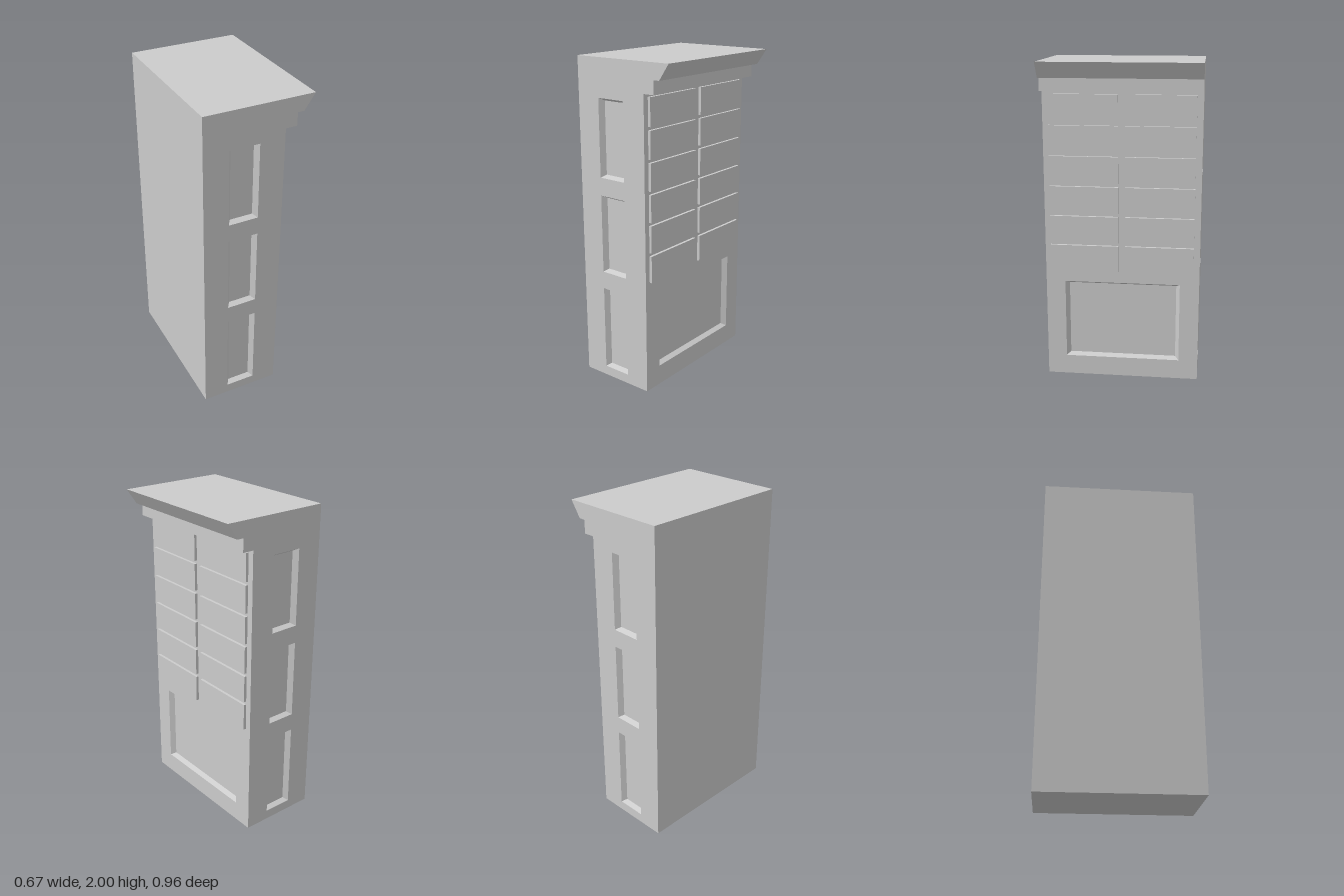
import * as THREE from 'three';
import { mergeGeometries } from 'three/addons/utils/BufferGeometryUtils.js';

const BACK = -0.335, FACE = 0.16, HALF = 0.48, DEPTH = 0.03;
const material = new THREE.MeshStandardMaterial({ color: 0xcccccc, flatShading: true });

// Closed outline of the cabinet with its stepped cornice, counter-clockwise
const profile = [[BACK, 0], [FACE, 0], [FACE, 1.825], [0.23, 1.825], [0.23, 1.905],
  [0.27, 1.905], [0.335, 2], [BACK, 2]];

function quad(a, b, c, d) {
  const g = new THREE.BufferGeometry();
  g.setAttribute('position', new THREE.Float32BufferAttribute([a, b, c, a, c, d].flat(), 3));
  g.computeVertexNormals();
  return g;
}

const corners = (x0, x1, y0, y1, z) => [[x0, y0, z], [x1, y0, z], [x1, y1, z], [x0, y1, z]];

// Flat wall facing +z, with sunken panels that have bevelled sides
function panelledWall(outline, panels, bevelX, bevelY) {
  const toVectors = pts => pts.map(p => new THREE.Vector2(p[0], p[1]));
  const shape = new THREE.Shape(toVectors(outline));
  const parts = [];
  for (const [x0, x1, y0, y1] of panels) {
    const rim = corners(x0, x1, y0, y1, 0);
    const floor = corners(x0 + bevelX, x1 - bevelX, y0 + bevelY, y1 - bevelY, -DEPTH);
    shape.holes.push(new THREE.Path(toVectors(rim)));
    parts.push(quad(...floor));
    for (let i = 0; i < 4; i++) {
      const j = (i + 1) % 4;
      parts.push(quad(rim[i], rim[j], floor[j], floor[i]));
    }
  }
  const wall = new THREE.ShapeGeometry(shape).toNonIndexed();
  wall.deleteAttribute('uv');
  return mergeGeometries([wall, ...parts]);
}

export function createModel() {
  const model = new THREE.Group();
  model.name = 'cabinet';
  const add = (name, geometry) => {
    const mesh = new THREE.Mesh(geometry, material);
    mesh.name = name;
    model.add(mesh);
    return mesh;
  };

  // Top, base, back and cornice swept along z; the drawer wall is made separately
  const strips = [];
  profile.forEach(([x0, y0], i) => {
    if (i === 1) return;
    const [x1, y1] = profile[(i + 1) % profile.length];
    strips.push(quad([x0, y0, HALF], [x0, y0, -HALF], [x1, y1, -HALF], [x1, y1, HALF]));
  });
  add('carcassAndCornice', mergeGeometries(strips));

  // Two end walls, each with three tall sunken panels
  const rows = [[0.06, 0.595], [0.705, 1.19], [1.3, 1.77]];
  for (const side of [1, -1]) {
    const xs = [-0.18 * side, 0.005 * side].sort((a, b) => a - b);
    const wall = add(side > 0 ? 'frontEndWall' : 'rearEndWall', panelledWall(
      profile.map(([x, y]) => [x * side, y]), rows.map(r => [...xs, ...r]), 0.022, 0.016));
    wall.position.z = HALF * side;
    if (side < 0) wall.rotation.y = Math.PI;
  }

  // Drawer wall with one wide sunken panel below
  const drawerWall = add('drawerWall', panelledWall(
    corners(-HALF, HALF, 0, 1.825, 0), [[-0.36, 0.36, 0.125, 0.633]], 0.023, 0.016));
  drawerWall.position.x = FACE;
  drawerWall.rotation.y = Math.PI / 2;

  // Two columns of six raised drawer fronts
  const drawerGeometry = new THREE.BoxGeometry(0.017, 0.166, 0.422);
  for (const z of [0.234, -0.231]) {
    for (let row = 0; row < 6; row++) {
      add('drawerFront', drawerGeometry).position.set(FACE + 0.0085, 0.792 + row * 0.186, z);
    }
  }
  return model;
}
